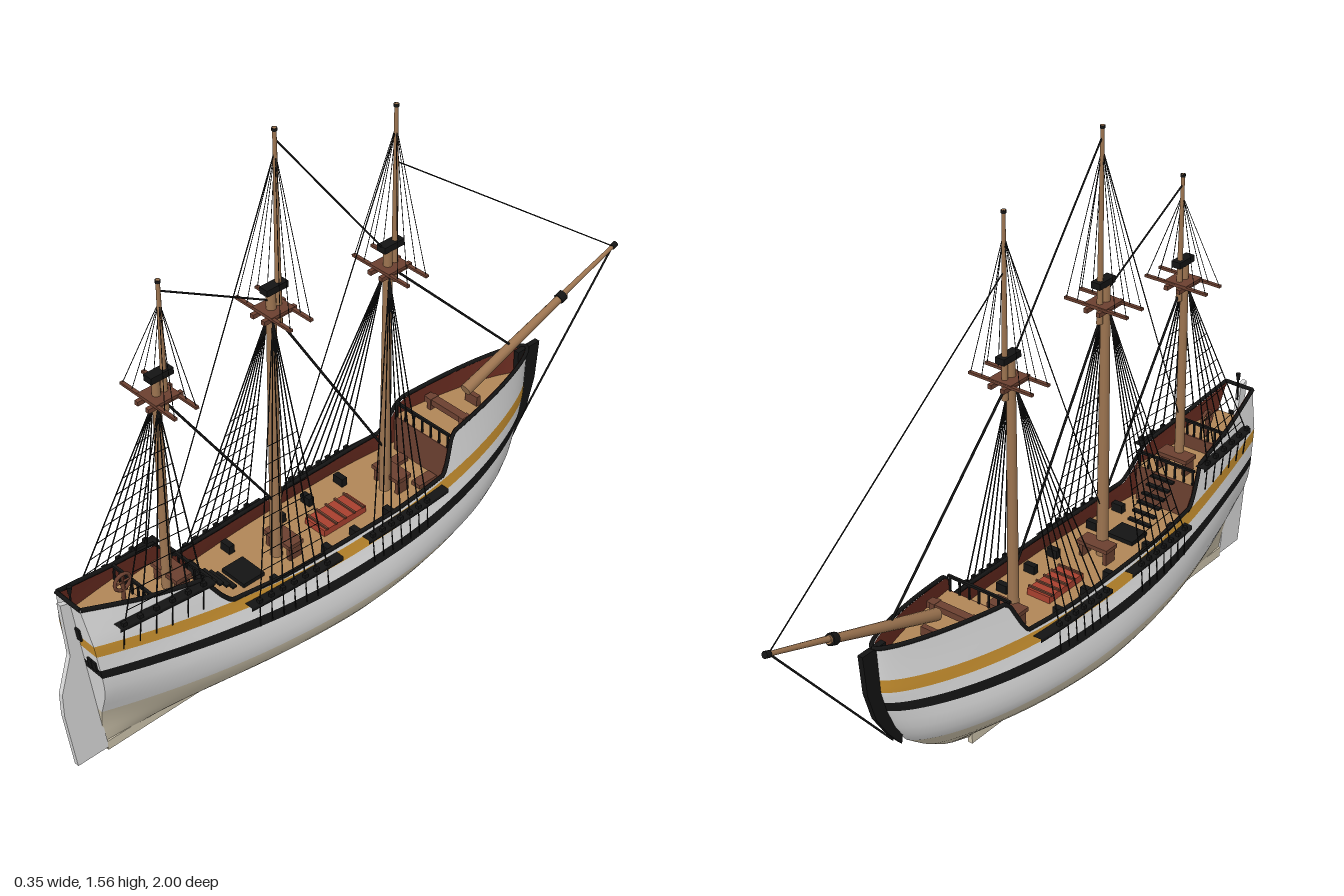
import * as THREE from 'three';
import { mergeGeometries } from 'three/addons/utils/BufferGeometryUtils.js';

const mat = (name, color, side = THREE.FrontSide) => {
  const m = new THREE.MeshStandardMaterial({ color, side });
  m.name = name;
  return m;
};
const V = (x, y, z) => new THREE.Vector3(x, y, z);

// Piecewise-linear lookup in a table of [key, value], keys ascending
function lookup(table, t) {
  if (t <= table[0][0]) return table[0][1];
  for (let i = 1; i < table.length; i++) {
    const [a, va] = table[i - 1], [b, vb] = table[i];
    if (t <= b) return va + (vb - va) * (t - a) / (b - a);
  }
  return table[table.length - 1][1];
}

// Hull lines: stem and sternpost position, beam and transom width by height
const KEEL = 0.02;
const STEM = [[.02, -.28], [.05, -.37], [.1, -.455], [.16, -.53], [.22, -.575], [.3, -.61], [.36, -.628], [.5, -.64]];
const BEAM = [[.18, .175], [.21, .174], [.25, .167], [.3, .15], [.35, .136], [.45, .115], [.54, .1]];
const TRANSOM = [[.02, 0], [.1, .008], [.15, .02], [.2, .042], [.25, .063], [.3, .071], [.43, .068], [.54, .046]];
const RAIL = [[-.64, .5], [-.245, .465], [-.195, .365], [0, .355], [.4, .358], [.56, .37], [.6, .41], [.62, .465], [.8, .5], [.96, .545]];
const bowZ = y => lookup(STEM, y);
const sternZ = y => .882 + .135 * (y - KEEL);
const railY = z => lookup(RAIL, z);
const sheer = (z, mid, aft, fore) => mid + (z > .15 ? aft : fore) * (z - .15) ** 2;

function half(z, y) {
  const s = Math.min(1, Math.max(0, (y - KEEL) / .16));
  const beam = y < .18 ? .175 * Math.pow(1 - (1 - s) ** 2, .6) : lookup(BEAM, y);
  const ease = (d, len, p) => Math.pow(Math.max(0, 1 - (1 - Math.min(1, Math.max(0, d) / len)) ** 2), p);
  const tr = Math.min(beam, lookup(TRANSOM, y));
  const aft = tr + (beam - tr) * ease(sternZ(y) - z, .8, 1.3 - .35 * s);
  return aft * ease(z - bowZ(y), .62, .95 - .33 * s);
}

// Surface through rows of points; bands = [[rowCount, materialIndex], ...]
function loft(rows, flip = false, bands = null) {
  const n = rows[0].length, pos = [], idx = [];
  rows.forEach(r => r.forEach(p => pos.push(p.x, p.y, p.z)));
  for (let k = 0; k < rows.length - 1; k++)
    for (let i = 0; i < n - 1; i++) {
      const a = k * n + i, b = a + 1, c = b + n, d = a + n;
      flip ? idx.push(a, c, b, a, d, c) : idx.push(a, b, c, a, c, d);
    }
  const g = new THREE.BufferGeometry();
  g.setAttribute('position', new THREE.Float32BufferAttribute(pos, 3));
  g.setIndex(idx);
  let start = 0;
  if (bands) for (const [count, m] of bands) {
    g.addGroup(start, count * (n - 1) * 6, m);
    start += count * (n - 1) * 6;
  }
  g.computeVertexNormals();
  return g;
}

// Outline in (z, y), given thickness across x
function plate(points, t) {
  const s = new THREE.Shape(points.map(p => new THREE.Vector2(...p)));
  return new THREE.ExtrudeGeometry(s, { depth: t, bevelEnabled: false }).rotateY(-Math.PI / 2).translate(t / 2, 0, 0);
}

function rod(a, b, r0, r1 = r0, sides = 5) {
  const d = b.clone().sub(a);
  const g = new THREE.CylinderGeometry(r1, r0, d.length(), sides);
  g.applyQuaternion(new THREE.Quaternion().setFromUnitVectors(V(0, 1, 0), d.normalize()));
  const m = a.clone().add(b).multiplyScalar(.5);
  return g.translate(m.x, m.y, m.z);
}
const box = (w, h, d, x, y, z) => new THREE.BoxGeometry(w, h, d).translate(x, y, z);

export function createModel() {
  const white = mat('white paint', 0xdcdcdc), cream = mat('cream bottom', 0xd0c6ae);
  const black = mat('black', 0x141414), ochre = mat('ochre', 0xc8902f);
  const deckMat = mat('deck planks', 0xb08657), spar = mat('spar wood', 0x9c7450);
  const brown = mat('brown wood', 0x6b4030), red = mat('red hatch', 0xa8402e);
  const maroon = mat('inner bulwark', 0x6e2e22, THREE.DoubleSide);
  const ship = new THREE.Group();
  ship.name = 'sailingShip';
  const add = (name, geo, m, parent = ship) => {
    const mesh = new THREE.Mesh(Array.isArray(geo) ? mergeGeometries(geo) : geo, m);
    mesh.name = name;
    parent.add(mesh);
    return mesh;
  };

  // Hull in colour bands, from keel to rail
  const paints = [cream, white, black, ochre];
  const bands = [[9, 0], [4, 1], [2, 2], [2, 1], [2, 3], [3, 1]];
  const edges = z => [KEEL, .16, sheer(z, .245, .115, .085), sheer(z, .272, .115, .09),
    sheer(z, .307, .135, .09), sheer(z, .34, .14, .1), railY(z)];
  const N = 100, levels = [];
  bands.forEach(([n], b) => { for (let j = b ? 1 : 0; j <= n; j++) levels.push([b, b ? j / n : (j / n) ** 1.6]); });
  const hullRows = side => levels.map(([b, f]) => Array.from({ length: N + 1 }, (_, i) => {
    const u = Math.sin(Math.PI / 2 * i / N), e = edges(.955 - 1.592 * u);
    const y = e[b] + (e[b + 1] - e[b]) * f;
    const z = sternZ(y) + (bowZ(y) - sternZ(y)) * u;
    return V(side * half(z, y), y, z);
  }));
  const leftRows = hullRows(1), rightRows = hullRows(-1);
  add('hullLeft', loft(leftRows, false, bands), paints);
  add('hullRight', loft(rightRows, true, bands), paints);
  add('transom', loft(leftRows.map((r, k) => [rightRows[k][0], r[0]]), false, bands), paints);

  // Rail caps and inner bulwarks
  for (const [side, rows] of [[1, leftRows], [-1, rightRows]]) {
    const top = rows[rows.length - 1];
    add('rail', new THREE.TubeGeometry(new THREE.CatmullRomCurve3(top), 160, .006, 6), black);
    const inner = [0, .25, .5, .75, 1].map(f => top.map(p => {
      const y = .29 + (p.y - .29) * f, z = Math.min(p.z, sternZ(y) - .006);
      return V(side * Math.max(0, half(z, y) - .008), y, z);
    }));
    add('innerBulwark', loft(inner, side > 0), maroon);
  }
  add('transomRail', rod(leftRows.at(-1)[0], rightRows.at(-1)[0], .006), black);
  add('keel', box(.014, .03, 1.16, 0, .015, .3), cream);
  add('stem', plate([[-.6, .5], [-.685, .5], [-.673, .38], [-.645, .29], [-.6, .22], [-.555, .165],
    [-.55, .2], [-.59, .28], [-.6, .35]], .016), black);
  add('rudder', plate([[.95, .54], [.98, .55], [.966, .38], [1, .27], [1, .2], [.975, .01], [.88, .01], [.88, .03]], .014), white);

  // Stern windows and lantern
  for (const s of [-1, 1]) for (const [x, y, w, h] of [[.014, .44, .018, .04], [.036, .355, .015, .03], [.053, .355, .015, .03]])
    add('sternWindow', new THREE.BoxGeometry(w, h, .008).rotateX(.134).translate(s * x, y, sternZ(y) + .001), black);
  add('sternLantern', [rod(V(0, .5, .945), V(0, .575, .945), .003), new THREE.CylinderGeometry(.007, .005, .02, 8).translate(0, .575, .945)], black);

  // Decks and the bulkheads between them
  const deck = (name, y, z0, z1) => {
    const edge = s => Array.from({ length: 31 }, (_, i) => {
      const z = z0 + (z1 - z0) * i / 30;
      return V(s * Math.max(0, half(z, y) - .006), y, z);
    });
    add(name, loft([edge(1), edge(-1)]), deckMat);
  };
  deck('mainDeck', .3, .62, -.28);
  deck('foreDeck', .415, -.235, -.628);
  deck('quarterDeck', .41, .76, .59);
  deck('poopDeck', .45, .938, .76);
  for (const [z, y0, y1] of [[-.235, .3, .415], [.592, .3, .41], [.762, .41, .45]]) {
    add('bulkhead', box(2 * half(z, y1) - .016, y1 - y0, .006, 0, (y0 + y1) / 2, z), brown);
    const w = half(z, y1) - .01, bar = [box(2 * w, .007, .008, 0, y1 + .045, z)];
    for (let i = -3; i <= 3; i++) bar.push(box(.005, .045, .005, w * i / 3.2, y1 + .022, z));
    add('deckRailing', bar, black);
  }

  // Deck fittings
  add('mainHatch', box(.075, .02, .15, 0, .31, .085), red);
  const bars = [];
  for (let i = 0; i < 5; i++) bars.push(box(.08, .006, .006, 0, .322, .02 + i * .0325));
  add('hatchBattens', bars, brown);
  add('windlass', [box(.16, .018, .025, 0, .44, -.335), box(.014, .04, .03, -.06, .43, -.335), box(.014, .04, .03, .06, .43, -.335)], brown);
  add('bowBitts', box(.045, .03, .015, 0, .43, -.43), brown);
  for (const s of [-1, 1]) {
    add('smallHatch', box(.032, .012, .065, s * .055, .307, -.19), brown);
    for (const z of [-.02, .1, .2, .38, .5]) add('deckCannon', box(.035, .025, .018, s * .095, .315, z), black);
  }
  for (const [z, y] of [[-.12, .3], [.27, .3], [.64, .41]])
    add('mastRack', [box(.1, .012, .05, 0, y + .045, z), box(.012, .045, .04, -.04, y + .022, z), box(.012, .045, .04, .04, y + .022, z)], brown);
  const steps = [];
  for (let i = 0; i < 6; i++) steps.push(box(.075, .006, .014, 0, .315 + i * .018, .47 + i * .021));
  add('ladder', steps, black);
  add('grating', box(.085, .012, .07, 0, .306, .41), black);
  add('steeringWheel', [new THREE.TorusGeometry(.024, .005, 6, 16).rotateY(Math.PI / 2).translate(0, .505, .79),
    rod(V(0, .48, .79), V(0, .53, .79), .003), rod(V(0, .505, .765), V(0, .505, .815), .003),
    rod(V(0, .45, .79), V(0, .505, .79), .006)], brown);

  // Masts with tops, shrouds, ratlines and channels
  const masts = [
    { name: 'foreMast', z: -.095, foot: .3, cap: 1.08, top: 1.01, tip: 1.47, r: .016, rail: .335, from: -.1, to: .1, ch: [-.18, .12], n: 7, rat: 0 },
    { name: 'mainMast', z: .295, foot: .3, cap: 1.135, top: 1.065, tip: 1.56, r: .017, rail: .335, from: .26, to: .48, ch: [.21, .51], n: 7, rat: .75 },
    { name: 'mizzenMast', z: .655, foot: .41, cap: 1.06, top: .992, tip: 1.31, r: .014, rail: .462, from: .63, to: .86, ch: [.6, .875], n: 6, rat: .9 },
  ];
  for (const m of masts) {
    const g = new THREE.Group();
    g.name = m.name;
    ship.add(g);
    const tz = m.z - .029;
    add('lowerMast', rod(V(0, m.foot, m.z), V(0, m.cap, m.z - .005), m.r, m.r * .75, 12), spar, g);
    add('topmast', rod(V(0, m.top - .05, tz), V(0, m.tip, tz), .009, .005, 10), spar, g);
    add('mastCap', [box(.028, .018, .068, 0, m.cap - .006, m.z - .015), rod(V(0, m.tip - .008, tz), V(0, m.tip, tz), .007, .007, 8)], black, g);
    add('mastTop', [box(.07, .008, .075, 0, m.top + .004, m.z - .012), box(.012, .012, .105, .02, m.top - .006, m.z - .012),
      box(.012, .012, .105, -.02, m.top - .006, m.z - .012)], brown, g);
    add('crosstrees', [-.045, .02].map(d => box(.2, .007, .01, 0, m.top + .002, m.z + d)), brown, g);
    const ropes = [], blocks = [];
    for (const s of [-1, 1]) {
      const feet = [];
      for (let i = 0; i < m.n; i++) {
        const z = m.from + (m.to - m.from) * i / (m.n - 1), hx = half(z, m.rail);
        const foot = V(s * (hx + .018), m.rail, z);
        feet.push(foot);
        ropes.push(rod(foot, V(s * .01, m.top - .02, m.z), .0024, .002, 4));
        const low = m.rail - .075;
        ropes.push(rod(foot, V(s * (half(z, low) + .002), low, z), .002, .002, 4));
        blocks.push(box(.01, .018, .012, foot.x, m.rail + .008, z));
      }
      // Ratlines across the shrouds
      for (let y = m.rail + .04; y < m.rat; y += .045) {
        const f = (y - m.rail) / (m.top - .02 - m.rail);
        const [a, b] = [feet[0], feet.at(-1)].map(p => p.clone().lerp(V(s * .01, m.top - .02, m.z), f));
        ropes.push(rod(a, b, .0014, .0014, 4));
      }
      // Topmast shrouds
      for (const d of [-.045, .02]) for (const x of [.06, .095])
        ropes.push(rod(V(s * x, m.top + .004, m.z + d), V(0, m.tip - .06, tz), .0012, .0012, 4));
      // Channel following the hull side
      const row = (off, dy) => Array.from({ length: 9 }, (_, i) => {
        const z = m.ch[1] + (m.ch[0] - m.ch[1]) * i / 8;
        return V(s * (half(z, m.rail) + off), m.rail + dy, z);
      });
      add('channel', loft([row(-.005, -.006), row(.024, -.006), row(.024, .006), row(-.005, .006)], s < 0), black, g);
    }
    add('rigging', ropes, black, g);
    add('deadeyes', blocks, black, g);
  }

  // Bowsprit
  const sprit = z => V(0, .474 + (-.41 - z) * .348, z);
  add('bowsprit', rod(sprit(-.4), sprit(-.79), .017, .011, 12), spar);
  add('jibBoom', rod(sprit(-.72).add(V(0, .004, 0)), sprit(-.99), .009, .006, 10), spar);
  add('bowspritBands', [rod(sprit(-.765), sprit(-.785), .016, .016, 10), rod(sprit(-.982), sprit(-.998), .009, .009, 10)], black);

  // Stays along the centreline: [z, y] to [z, y], radius
  const stays = [
    [-.124, 1.31, -.985, .675, .0018], [-.115, 1, -.58, .53, .0035],
    [.266, 1.53, -.09, 1.065, .0025], [.27, 1.03, -.085, .45, .0035],
    [.626, 1.28, .3, 1.1, .0025], [.63, .97, .3, .48, .0035],
    [.266, 1.5, .65, .57, .0016], [-.124, 1.4, .295, .43, .0016],
    [-.98, .67, -.58, .19, .003],
  ];
  add('stays', stays.map(([z0, y0, z1, y1, r]) => rod(V(0, y0, z0), V(0, y1, z1), r, r, 5)), black);
  return ship;
}
